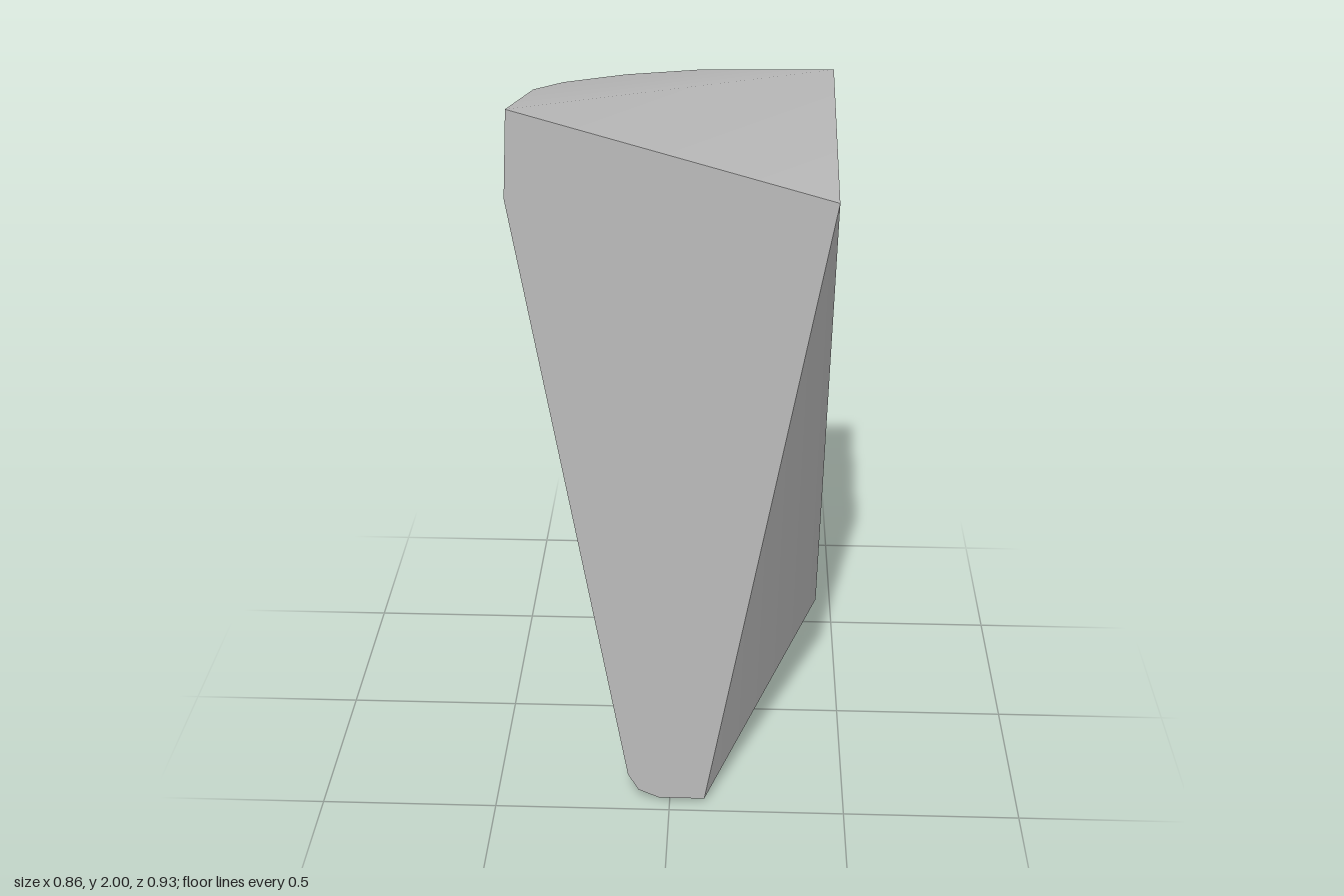
import * as THREE from 'three';
import { toCreasedNormals } from 'three/addons/utils/BufferGeometryUtils.js';
import { ConvexGeometry } from 'three/addons/geometries/ConvexGeometry.js';

// The flat front leans back as it rises
const frontZ = (y) => 0.466 - 0.107 * y;

export function createModel() {
  const group = new THREE.Group();
  group.name = 'stoneShard';
  const stone = new THREE.MeshStandardMaterial({ color: 0xb4b4b4 });
  stone.name = 'grey stone';

  // Outline of the flat front face
  const front = [
    [-0.42, 2], [0.43, 1.77], [0.1, 0.015], [-0.03, 0.015],
    [-0.09, 0.04], [-0.12, 0.09], [-0.43, 1.77],
  ].map(([x, y]) => [x, y, frontZ(y)]);

  // Curved rear rim of the sloping top
  const topRim = [
    [0.43, 1.94, -0.333], [0.06, 1.947, -0.295], [-0.145, 1.953, -0.22],
    [-0.305, 1.967, -0.095], [-0.375, 1.978, 0.01],
  ];

  // Rear bulge, from the left shoulder round to the flat side
  const bulge = [
    [-0.43, 1.66, 0.15], [-0.35, 1.34, -0.12], [-0.302, 1.3, -0.208],
    [-0.07, 0.83, -0.42], [-0.02, 0.9, -0.445], [0.2, 0.95, -0.462],
    [0.43, 1.01, -0.465],
  ];

  // Underside, tapering to the foot
  const underside = [
    [0.43, 0.55, -0.35], [0.43, 0.295, -0.175], [0, 0.68, -0.405],
    [-0.08, 0.45, -0.22], [0.02, 0.32, -0.1], [0.2, 0.115, 0.06],
    [-0.07, 0.19, 0.01], [0.1, 0.05, 0.17], [-0.05, 0.05, 0.19],
    [0.1, 0.012, 0.3], [-0.04, 0.014, 0.3], [0.1, 0, 0.4], [-0.03, 0, 0.4],
  ];

  const points = [...front, ...topRim, ...bulge, ...underside]
    .map((p) => new THREE.Vector3(...p));

  // Gentle facets blend, sharp ridges stay crisp
  const body = new THREE.Mesh(toCreasedNormals(new ConvexGeometry(points), 0.52), stone);
  body.name = 'stoneBody';
  group.add(body);
  return group;
}
